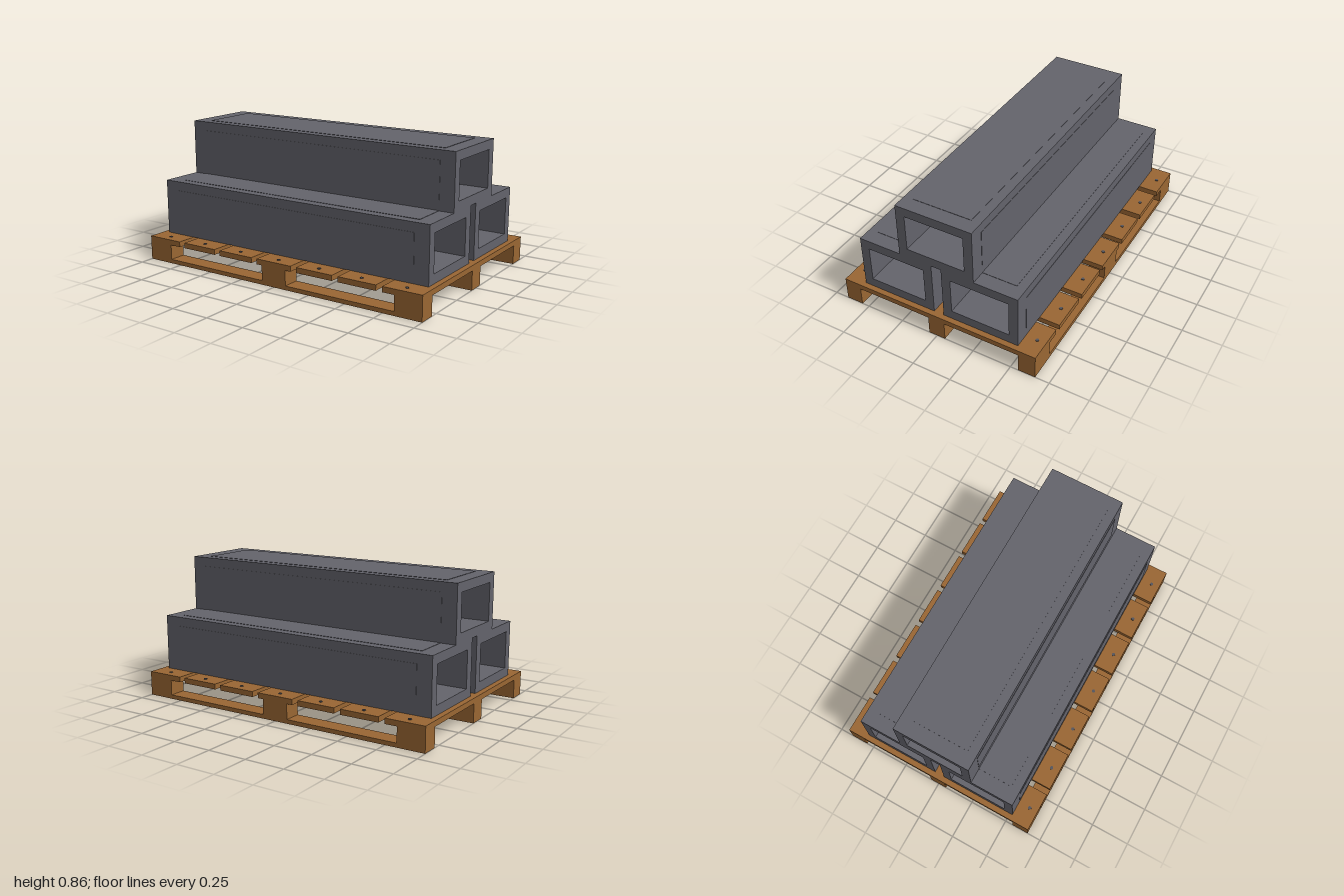
import * as THREE from 'three';

const wood = new THREE.MeshStandardMaterial({ color: 0x996633 });
wood.name = 'wood';
const concrete = new THREE.MeshStandardMaterial({ color: 0x63636b });
concrete.name = 'grey concrete';
const steel = new THREE.MeshStandardMaterial({ color: 0x55555c });
steel.name = 'dark steel';

function box(parent, name, material, size, position) {
  const mesh = new THREE.Mesh(new THREE.BoxGeometry(...size), material);
  mesh.name = name;
  mesh.position.set(...position);
  parent.add(mesh);
  return mesh;
}

function rectangle(path, w, h) {
  path.moveTo(-w / 2, -h / 2);
  path.lineTo(w / 2, -h / 2);
  path.lineTo(w / 2, h / 2);
  path.lineTo(-w / 2, h / 2);
  path.closePath();
  return path;
}

function createPallet() {
  const pallet = new THREE.Group();
  pallet.name = 'pallet';
  // three runners, each carrying three blocks
  for (const z of [-0.605, 0, 0.605]) {
    box(pallet, 'runner', wood, [2, 0.026, 0.11], [0, 0.013, z]);
    for (const x of [-0.9125, 0, 0.9125]) {
      box(pallet, 'block', wood, [0.175, 0.096, 0.11], [x, 0.073, z]);
    }
  }
  // seven deck boards with nail heads over the runners
  const nailShape = new THREE.CylinderGeometry(0.011, 0.011, 0.008, 8);
  for (let i = -3; i <= 3; i++) {
    const x = i * 0.2915;
    box(pallet, 'deckBoard', wood, [0.251, 0.034, 1.32], [x, 0.138, 0]);
    for (const z of [-0.605, 0, 0.605]) {
      const nail = new THREE.Mesh(nailShape, steel);
      nail.name = 'nailHead';
      nail.position.set(x, 0.155, z);
      pallet.add(nail);
    }
  }
  return pallet;
}

function createBeam(y, z) {
  const beam = new THREE.Group();
  beam.name = 'hollowBeam';
  const length = 1.93, width = 0.497, height = 0.352;
  const openW = 0.38, openH = 0.235, panelL = 1.74;

  // rectangular tube running along x
  const section = rectangle(new THREE.Shape(), width, height);
  section.holes.push(rectangle(new THREE.Path(), openW, openH));
  const geometry = new THREE.ExtrudeGeometry(section, { depth: length, bevelEnabled: false });
  geometry.translate(0, 0, -length / 2);
  geometry.rotateY(Math.PI / 2);
  const tube = new THREE.Mesh(geometry, concrete);
  tube.name = 'tube';
  beam.add(tube);

  // inner wall closing the tube halfway
  box(beam, 'innerWall', concrete, [0.1, openH, openW], [0, 0, 0]);

  // slightly raised panels on the top and the long sides
  box(beam, 'topPanel', concrete, [panelL, 0.004, openW], [0, height / 2, 0]);
  for (const s of [-1, 1]) {
    box(beam, 'sidePanel', concrete, [panelL, openH, 0.004], [0, 0, s * width / 2]);
  }
  beam.position.set(0, y, z);
  return beam;
}

export function createModel() {
  const model = new THREE.Group();
  model.name = 'loadedPallet';
  model.add(createPallet());
  // two beams below, one stacked across the gap
  model.add(createBeam(0.331, 0.281), createBeam(0.331, -0.281), createBeam(0.683, 0));
  return model;
}
